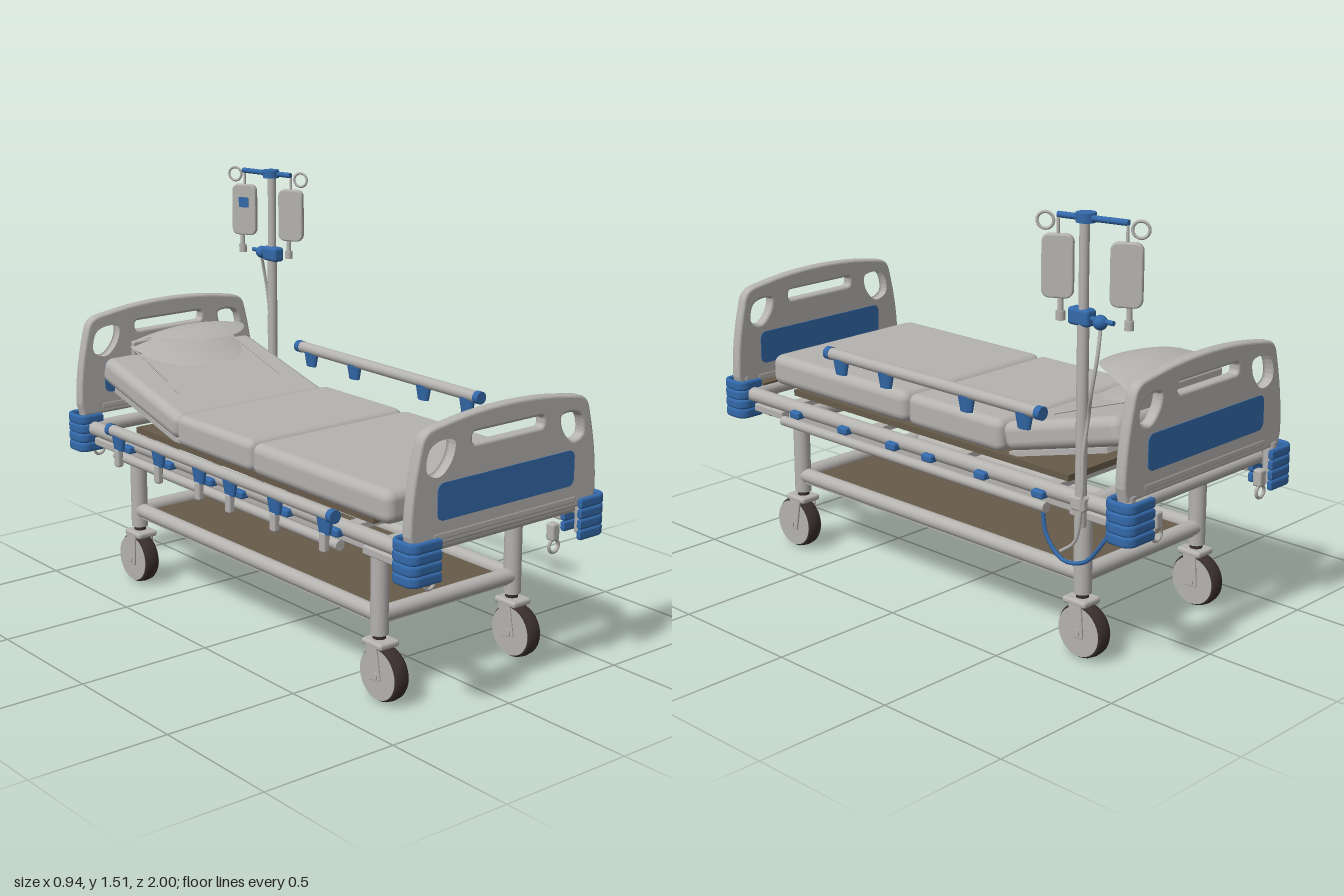
import * as THREE from 'three';
import { RoundedBoxGeometry } from 'three/addons/geometries/RoundedBoxGeometry.js';

const V = (x, y, z) => new THREE.Vector3(x, y, z);

export function createModel() {
  const model = new THREE.Group();
  model.name = 'hospitalBed';
  const mat = (name, color, side = THREE.FrontSide) => {
    const m = new THREE.MeshStandardMaterial({ color, side });
    m.name = name;
    return m;
  };
  const grey = mat('warmGrey', 0xb5b3b0, THREE.DoubleSide);
  const blue = mat('blue', 0x3369aa, THREE.DoubleSide);
  const dark = mat('tyreBlack', 0x3a302e);
  const brown = mat('darkBrown', 0x675b49);

  const add = (name, geo, material, x = 0, y = 0, z = 0, parent = model) => {
    const m = new THREE.Mesh(geo, material);
    m.name = name;
    m.position.set(x, y, z);
    parent.add(m);
    return m;
  };
  const box = (name, w, h, d, r, material, x, y, z, parent) =>
    add(name, r ? new RoundedBoxGeometry(w, h, d, 3, r) : new THREE.BoxGeometry(w, h, d), material, x, y, z, parent);
  // Straight round bar between two points
  const bar = (name, a, b, r, material = grey, parent = model, r2 = r) => {
    const m = add(name, new THREE.CylinderGeometry(r2, r, a.distanceTo(b), 18), material, 0, 0, 0, parent);
    m.position.copy(a).lerp(b, 0.5);
    m.quaternion.setFromUnitVectors(V(0, 1, 0), b.clone().sub(a).normalize());
    return m;
  };
  const tube = (name, pts, r, material = grey) =>
    add(name, new THREE.TubeGeometry(new THREE.CatmullRomCurve3(pts.map(p => V(...p))), 40, r, 8), material);
  const rounded = (w, h, r) => {
    const s = new THREE.Shape(), x = w / 2 - r, y = h / 2 - r;
    s.absarc(x, y, r, 0, Math.PI / 2).absarc(-x, y, r, Math.PI / 2, Math.PI);
    s.absarc(-x, -y, r, Math.PI, Math.PI * 1.5).absarc(x, -y, r, Math.PI * 1.5, Math.PI * 2);
    return s;
  };

  // End boards with hand grips and inset panels
  const boardShape = new THREE.Shape();
  boardShape.moveTo(-0.39, 0.62).lineTo(-0.4, 0.66);
  boardShape.bezierCurveTo(-0.4, 0.78, -0.375, 0.88, -0.362, 0.93);
  boardShape.bezierCurveTo(-0.35, 0.985, -0.33, 0.98, -0.25, 0.993);
  boardShape.bezierCurveTo(-0.1, 1.018, 0.1, 1.018, 0.25, 0.993);
  boardShape.bezierCurveTo(0.33, 0.98, 0.35, 0.985, 0.362, 0.93);
  boardShape.bezierCurveTo(0.375, 0.88, 0.4, 0.78, 0.4, 0.66);
  boardShape.lineTo(0.39, 0.62);
  const slot = rounded(0.33, 0.058, 0.024).getPoints(8).map(p => p.add(new THREE.Vector2(0, 0.932)));
  boardShape.holes.push(new THREE.Path(slot));
  for (const s of [-1, 1]) {
    const pts = [[0.345, 0.855], [0.336, 0.925], [0.295, 0.948], [0.232, 0.94], [0.238, 0.885], [0.29, 0.834]];
    const curve = new THREE.CatmullRomCurve3(pts.map(p => V(p[0] * s, p[1], 0)), true);
    boardShape.holes.push(new THREE.Path(curve.getPoints(30).map(p => new THREE.Vector2(p.x, p.y))));
  }
  const boardGeo = new THREE.ExtrudeGeometry(boardShape, {
    depth: 0.02, bevelThickness: 0.011, bevelSize: 0.01, bevelSegments: 4, curveSegments: 14 });
  boardGeo.translate(0, 0, -0.01);
  const panelGeo = new THREE.ExtrudeGeometry(rounded(0.6, 0.122, 0.025), { depth: 0.004, bevelEnabled: false });
  for (const [name, z, lift] of [['footBoard', 0.945, -0.015], ['headBoard', -0.938, 0.012]]) {
    const g = new THREE.Group();
    g.name = name;
    g.position.set(0, lift, z);
    model.add(g);
    add('board', boardGeo, grey, 0, 0, 0, g);
    add('frontPanel', panelGeo, blue, 0, 0.752, 0.02, g);
    add('backPanel', panelGeo, blue, 0, 0.752, -0.024, g);
    box('panelSill', 0.64, 0.035, 0.045, 0.012, grey, 0, 0.64, 0, g);
  }

  // Ribbed hollow corner bumpers with a long outer arm and a shorter inner arm
  const c = new THREE.Shape();
  c.moveTo(-0.055, -0.051).lineTo(0.022, -0.051);
  c.absarc(0.024, -0.02, 0.031, -Math.PI / 2, 0).absarc(0.024, 0.02, 0.031, 0, Math.PI / 2);
  c.lineTo(-0.03, 0.051).lineTo(-0.03, 0.046).lineTo(0.022, 0.046);
  c.absarc(0.024, 0.02, 0.026, Math.PI / 2, 0, true).absarc(0.024, -0.02, 0.026, 0, -Math.PI / 2, true);
  c.lineTo(-0.055, -0.046);
  const ribGeo = new THREE.ExtrudeGeometry(c, {
    depth: 0.016, bevelThickness: 0.01, bevelSize: 0.007, bevelSegments: 5, curveSegments: 8 });
  // Mirror in plan so that the long arm ends up on the outside
  ribGeo.rotateX(-Math.PI / 2).translate(0, -0.008, 0);
  for (const sx of [-1, 1]) for (const sz of [-1, 1]) {
    const g = new THREE.Group();
    g.name = 'cornerBumper';
    g.position.set(sx * 0.37, 0, sz * 0.943);
    g.scale.set(sx, 1, sz);
    model.add(g);
    for (let i = 0; i < 4; i++) add('rib', ribGeo, blue, 0, 0.508 + i * 0.036, 0, g);
    bar('cornerPost', V(0, 0.495, 0), V(0, 0.64, 0), 0.022, grey, g);
  }

  // Upper frame
  for (const s of [-1, 1]) {
    bar('sideTube', V(s * 0.372, 0.58, -0.92), V(s * 0.372, 0.58, 0.92), 0.027);
    box('subFrameBeam', 0.045, 0.045, 1.38, 0.008, grey, s * 0.3, 0.522, 0);
    bar('endTube', V(-0.37, 0.58, s * 0.9), V(0.37, 0.58, s * 0.9), 0.026);
    bar('lowerEndTube', V(-0.3, 0.522, s * 0.7), V(0.3, 0.522, s * 0.7), 0.03);
    for (const x of [-0.365, 0.365]) box('endBracket', 0.04, 0.03, 0.16, 0.006, grey, x, 0.535, s * 0.79);
    // Hooks hanging below both ends
    for (const x of [-0.315, 0.235]) {
      add('hook', new THREE.TorusGeometry(0.022, 0.006, 8, 20), grey, x, 0.476, s * 0.95);
      box('hookMount', 0.034, 0.06, 0.035, 0.008, grey, x, 0.525, s * 0.945);
    }
  }
  for (let i = 0; i < 4; i++) box('slat', 0.72, 0.02, 0.05, 0, grey, 0, 0.592, -0.62 + i * 0.42);
  box('bedDeck', 0.66, 0.022, 1.36, 0, brown, 0, 0.616, 0.02);
  box('footDeckEdge', 0.66, 0.008, 0.04, 0, brown, 0, 0.609, 0.9);
  const backrest = box('backrestDeck', 0.64, 0.018, 0.44, 0, grey, -0.01, 0.683, -0.59);
  backrest.rotation.x = 0.26;

  // Undercarriage with storage shelf
  for (const s of [-1, 1]) {
    bar('lowerSideBar', V(s * 0.3, 0.29, -0.7), V(s * 0.3, 0.29, 0.7), 0.027);
    bar('lowerCrossBar', V(-0.3, 0.29, s * 0.7), V(0.3, 0.29, s * 0.7), 0.028);
  }
  box('shelfTop', 0.58, 0.008, 1.38, 0, brown, 0, 0.283, 0);
  box('shelfUnderside', 0.62, 0.008, 1.42, 0, grey, 0, 0.264, 0);

  // Legs and casters
  const tyreProfile = [[0, -0.03], [0.086, -0.03], [0.093, -0.021], [0.096, 0], [0.093, 0.021], [0.086, 0.03], [0, 0.03]];
  const tyreGeo = new THREE.LatheGeometry(tyreProfile.map(p => new THREE.Vector2(...p)), 32).rotateZ(-Math.PI / 2);
  const hubGeo = new THREE.CylinderGeometry(0.086, 0.086, 0.063, 32).rotateZ(Math.PI / 2);
  for (const sx of [-1, 1]) for (const z of [0.7, -0.7]) {
    const g = new THREE.Group();
    g.name = 'legAndCaster';
    g.position.set(sx * 0.3, 0, z);
    model.add(g);
    bar('leg', V(0, 0.225, 0), V(0, 0.54, 0), 0.031, grey, g);
    bar('casterStem', V(0, 0.195, 0), V(0, 0.23, 0), 0.022, dark, g);
    box('forkCrown', 0.085, 0.024, 0.1, 0.01, grey, 0, 0.198, 0.005, g);
    const wz = z > 0 ? 0.026 : -0.01;
    for (const s of [-1, 1]) {
      const arm = box('forkArm', 0.008, 0.125, 0.055, 0.003, grey, s * 0.038, 0.14, wz * 0.5, g);
      arm.rotation.x = -wz * 7;
    }
    add('tyre', tyreGeo, dark, 0, 0.096, wz, g);
    add('wheelDisc', hubGeo, grey, 0, 0.096, wz, g);
    bar('axle', V(-0.046, 0.096, wz), V(0.046, 0.096, wz), 0.014, grey, g);
  }

  // Mattress in three sections
  box('footMattress', 0.71, 0.115, 0.72, 0.035, grey, -0.012, 0.686, 0.452);
  box('middleMattress', 0.7, 0.115, 0.45, 0.03, grey, -0.01, 0.686, -0.138);
  const head = box('headMattress', 0.68, 0.1, 0.52, 0.035, grey, -0.01, 0.75, -0.61);
  head.rotation.x = 0.26;

  // Pillow: curved tongue over a sloping lower sheet
  const sheet = (name, height, front) => {
    const geo = new THREE.PlaneGeometry(1, 1, 24, 16), p = geo.attributes.position;
    for (let i = 0; i < p.count; i++) {
      const u = p.getX(i) * 2, t = p.getY(i) + 0.5;
      const len = (front + 0.83) * Math.pow(Math.max(0, 1 - Math.pow(Math.abs(u), 2.6)), 0.6);
      const z = -0.83 + t * len;
      p.setXYZ(i, u * 0.23 - 0.01, height((z + 0.83) / (front + 0.83), u), z);
    }
    geo.computeVertexNormals();
    return add(name, geo, grey);
  };
  sheet('pillowTop', (k, u) => 0.92 + 0.05 * Math.sin(Math.PI * (0.1 + 0.75 * k)) - 0.03 * u * u, -0.56);
  sheet('pillowUnderside', (k, u) => 0.92 - 0.08 * k - 0.03 * u * u, -0.58);
  box('pillowBack', 0.44, 0.06, 0.02, 0.008, grey, -0.01, 0.88, -0.83);
  for (const s of [-1, 1])
    tube('pillowStrap', [[s * 0.225 - 0.01, 0.885, -0.82], [s * 0.225 - 0.01, 0.845, -0.7], [s * 0.235 - 0.01, 0.775, -0.5]], 0.003);

  // Side rails: the left one raised, the right one folded down
  const railing = (name, x, y, z0, z1, brackets) => {
    const g = new THREE.Group();
    g.name = name;
    model.add(g);
    bar('rail', V(x, y, z0), V(x, y, z1), 0.021, grey, g);
    for (const z of [z0, z1]) bar('endCap', V(x, y, z - 0.012), V(x, y, z + 0.012), 0.023, blue, g);
    for (const z of brackets) {
      const bracket = bar('bracket', V(x, y - 0.067, z), V(x, y - 0.01, z), 0.026, blue, g, 0.038);
      bracket.scale.x = 0.52;
    }
  };
  railing('raisedRail', 0.402, 0.84, -0.6, 0.41, [0.35, 0.12, -0.27, -0.53]);
  const clips = [0.6, 0.34, 0.09, -0.09, -0.34, -0.6];
  railing('loweredRail', -0.447, 0.64, -0.65, 0.64, clips);
  for (const s of [-1, 1]) {
    bar('lowerRail', V(s * 0.425, 0.54, -0.65), V(s * 0.425, 0.54, 0.65), 0.018);
    for (const z of clips) box('railClip', 0.038, 0.028, 0.05, 0.008, blue, s * 0.401, 0.569, z);
  }
  for (const z of clips) box('foldedStrut', 0.026, 0.07, 0.03, 0.008, grey, -0.45, 0.545, z);

  // Infusion stand
  bar('standPole', V(0.396, 0.5, -0.77), V(0.396, 1.17, -0.77), 0.019);
  bar('standUpperPole', V(0.396, 1.17, -0.77), V(0.396, 1.5, -0.77), 0.016);
  box('standCollar', 0.048, 0.056, 0.085, 0.012, blue, 0.392, 1.185, -0.76);
  box('standClamp', 0.06, 0.05, 0.06, 0.01, grey, 0.388, 0.58, -0.77);
  bar('hangerArm', V(0.422, 1.497, -0.685), V(0.374, 1.497, -0.925), 0.01, blue);
  bar('hangerHub', V(0.396, 1.482, -0.775), V(0.396, 1.512, -0.775), 0.032, blue);
  // Flat bags turned at an angle on their hooks
  for (const [x, z, s] of [[0.432, -0.695, 1], [0.382, -0.928, -1]]) {
    const g = new THREE.Group();
    g.name = 'infusionBagSet';
    g.position.set(x, 0, z);
    g.rotation.y = Math.PI / 6;
    model.add(g);
    const ring = add('hangerHook', new THREE.TorusGeometry(0.026, 0.005, 8, 24), grey, 0, 1.48, s * 0.04, g);
    ring.rotation.y = Math.PI / 2;
    bar('bagHanger', V(0, 1.42, 0), V(0, 1.49, 0), 0.005, grey, g);
    const bagGeo = new THREE.ExtrudeGeometry(rounded(0.09, 0.19, 0.02), {
      depth: 0.008, bevelThickness: 0.008, bevelSize: 0.006, bevelSegments: 3 });
    bagGeo.translate(0, 0, -0.004).rotateY(Math.PI / 2);
    add('infusionBag', bagGeo, grey, 0, 1.34, 0, g);
    if (s < 0) box('bagLabel', 0.003, 0.04, 0.04, 0, blue, -0.013, 1.37, 0, g);
    bar('bagNeck', V(0, 1.18, -0.01), V(0, 1.25, -0.01), 0.009, grey, g);
    bar('bagPort', V(0, 1.17, -0.01), V(0, 1.2, -0.01), 0.015, grey, g);
  }
  add('dripValve', new THREE.SphereGeometry(0.024, 16, 12), blue, 0.398, 1.18, -0.84);
  bar('dripArm', V(0.394, 1.185, -0.78), V(0.394, 1.185, -0.89), 0.008, blue);
  tube('dripLine', [[0.395, 1.17, -0.84], [0.42, 1.08, -0.85], [0.425, 0.95, -0.83], [0.4, 0.87, -0.8],
    [0.41, 0.75, -0.79], [0.415, 0.6, -0.79], [0.41, 0.45, -0.76], [0.41, 0.4, -0.7]], 0.006);
  tube('cable', [[0.41, 0.53, -0.62], [0.412, 0.44, -0.64], [0.412, 0.375, -0.71], [0.41, 0.39, -0.8], [0.405, 0.47, -0.87], [0.39, 0.53, -0.9]], 0.007, blue);

  return model;
}
